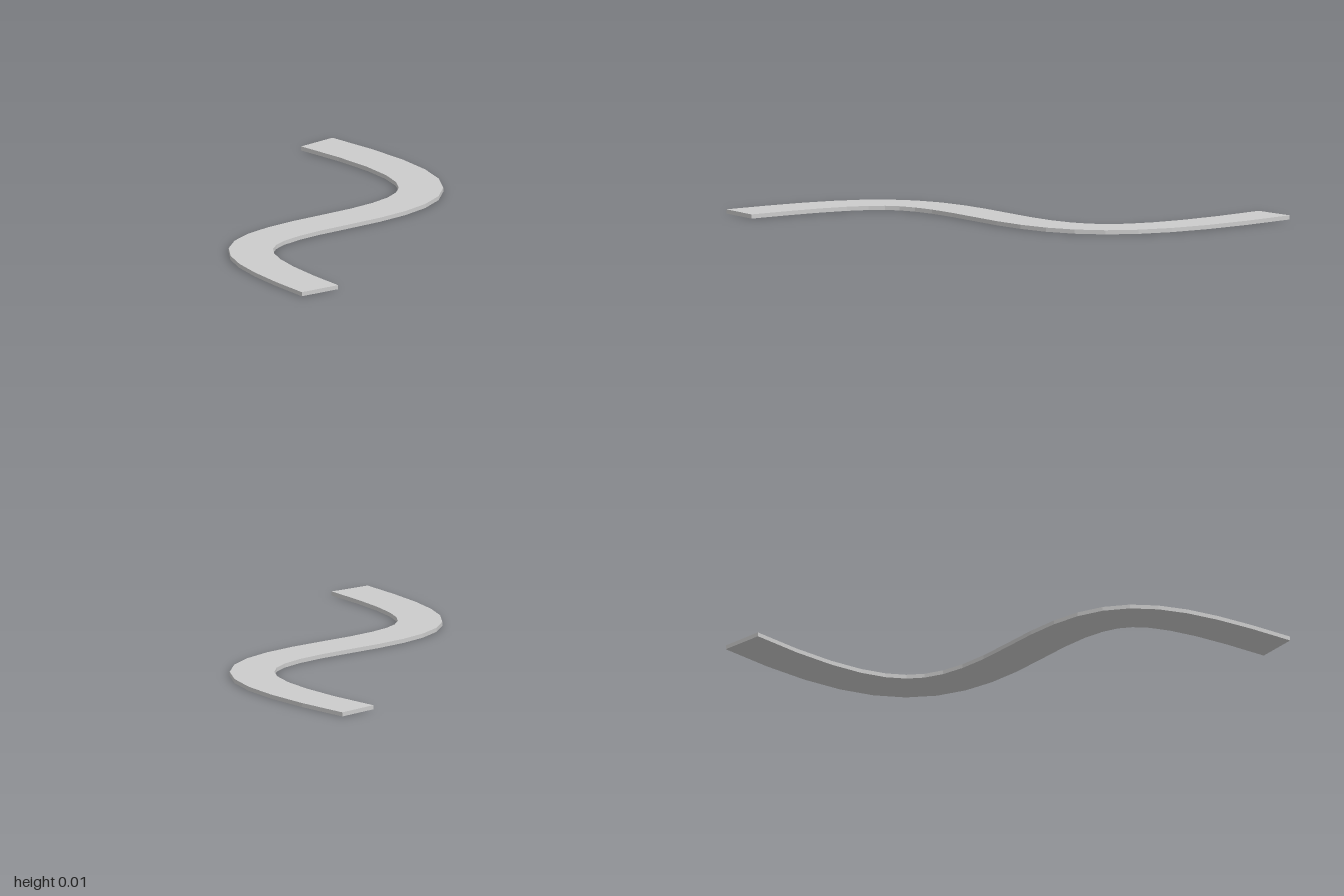
import * as THREE from 'three';

const WIDTH = 0.158;
const THICKNESS = 0.015;
const STEPS = 10; // segments per bend

export function createModel() {
  const group = new THREE.Group();
  group.name = 'windingPath';

  // Centre line in plan: two bends meeting in the middle (x, -z)
  const v = (x, z) => new THREE.Vector2(x, -z);
  const bends = [
    new THREE.CubicBezierCurve(v(-0.065, -0.945), v(0.45, -0.43), v(0.377, -0.22), v(0, 0.057)),
    new THREE.CubicBezierCurve(v(0, 0.057), v(-0.388, 0.343), v(-0.405, 0.47), v(-0.063, 0.953)),
  ];

  // Offset the centre line to both sides to get the outline
  const left = [];
  const right = [];
  bends.forEach((curve, k) => {
    for (let i = k; i <= STEPS; i++) {
      const p = curve.getPoint(i / STEPS);
      const t = curve.getTangent(i / STEPS);
      const n = new THREE.Vector2(-t.y, t.x).multiplyScalar(WIDTH / 2);
      left.push(p.clone().add(n));
      right.push(p.clone().sub(n));
    }
  });

  // Flat slab standing on the ground
  const geometry = new THREE.ExtrudeGeometry(
    new THREE.Shape([...right, ...left.reverse()]),
    { depth: THICKNESS, bevelEnabled: false }
  );
  geometry.rotateX(-Math.PI / 2);

  const slab = new THREE.Mesh(
    geometry,
    new THREE.MeshStandardMaterial({ color: 0xcccccc, flatShading: true })
  );
  slab.name = 'pathSlab';
  group.add(slab);
  return group;
}
